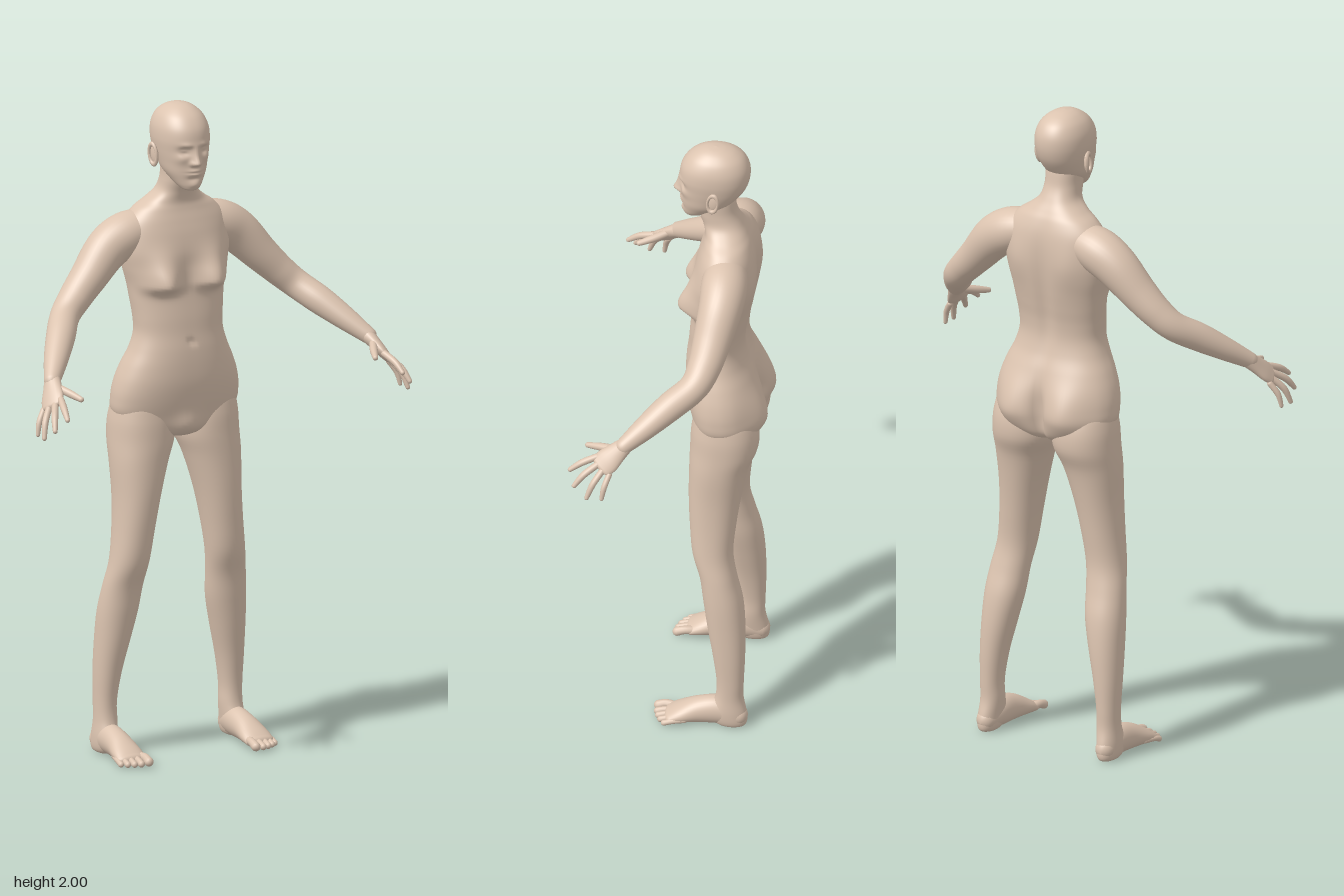
import * as THREE from 'three';

const skin = new THREE.MeshStandardMaterial({ color: 0xdcc4b0, roughness: 0.8 });
const V = (x, y, z) => new THREE.Vector3(x, y, z);

// Smooth interpolation through rows of numbers, t in 0..1
function sampleRows(rows, t) {
  const n = rows.length - 1;
  const i = Math.min(Math.floor(t * n), n - 1);
  const f = t * n - i;
  const at = (k) => rows[Math.max(0, Math.min(n, k))];
  return rows[i].map((b, c) => {
    const a = at(i - 1)[c], d = at(i + 1)[c], e = at(i + 2)[c];
    return b + 0.5 * f * (d - a + f * (2 * a - 5 * b + 4 * d - e + f * (3 * (b - d) + e - a)));
  });
}

// Closed skin over a list of rings
function skinRings(rings) {
  const n = rings[0].length, pos = [], index = [];
  for (const ring of rings) for (const p of ring) pos.push(p.x, p.y, p.z);
  for (let i = 0; i < rings.length - 1; i++) {
    for (let j = 0; j < n; j++) {
      const k = (j + 1) % n, a = i * n + j, b = i * n + k, c = a + n, d = b + n;
      index.push(a, b, c, b, d, c);
    }
  }
  const g = new THREE.BufferGeometry();
  g.setAttribute('position', new THREE.Float32BufferAttribute(pos, 3));
  g.setIndex(index);
  g.computeVertexNormals();
  return g;
}

// Upright form from rows [y, xMin, xMax, zFront, zBack], going up.
// Each bump [x, y, width, heightBelow, heightAbove, amount, side] pushes z, mirrored in x.
function upright(rows, { steps = 60, sides = 48, power = 2.2, bumps = [] } = {}) {
  const rings = [];
  const round = (v) => Math.sign(v) * Math.abs(v) ** (2 / power);
  for (let i = 0; i <= steps; i++) {
    const [y, x0, x1, zf, zb] = sampleRows(rows, i / steps);
    rings.push(Array.from({ length: sides }, (_, j) => {
      const a = (j / sides) * Math.PI * 2, c = Math.cos(a);
      const x = (x0 + x1) / 2 + (x1 - x0) / 2 * round(Math.sin(a));
      let z = (zf + zb) / 2 + (zf - zb) / 2 * round(c);
      for (const [bx, by, w, lo, hi, amount, side] of bumps) {
        if (c * side <= 0) continue;
        const dx = (Math.abs(x) - bx) / w, dy = (y - by) / (y < by ? lo : hi);
        z += amount * Math.exp(-dx * dx - dy * dy) * Math.min(1, Math.abs(c) * 2.5);
      }
      return V(x, y, z);
    }));
  }
  return skinRings(rings);
}

// Limb along rows [x, y, z, radiusA, radiusB] with round ends; radiusA lies along the hint
function limb(rows, { hint = V(0, 1, 0), steps = 24, sides = 20 } = {}) {
  const rings = [];
  const point = (t) => V(...sampleRows(rows, t).slice(0, 3));
  const addRing = (t, angle, dir) => {
    const [x, y, z, ra, rb] = sampleRows(rows, t);
    const T = point(Math.min(1, t + 0.01)).sub(point(Math.max(0, t - 0.01))).normalize();
    const U = hint.clone().addScaledVector(T, -hint.dot(T)).normalize();
    const W = T.clone().cross(U);
    const s = Math.cos(angle);
    const o = V(x, y, z).addScaledVector(T, dir * Math.min(ra, rb) * Math.sin(angle));
    rings.push(Array.from({ length: sides }, (_, j) => {
      const a = (j / sides) * Math.PI * 2;
      return o.clone().addScaledVector(U, ra * s * Math.cos(a)).addScaledVector(W, rb * s * Math.sin(a));
    }));
  };
  for (let k = 5; k > 0; k--) addRing(0, k * Math.PI / 10, -1);
  for (let i = 0; i <= steps; i++) addRing(i / steps, 0, 0);
  for (let k = 1; k <= 5; k++) addRing(1, k * Math.PI / 10, 1);
  return skinRings(rings);
}

function mirrored(geometry) {
  const g = geometry.clone().scale(-1, 1, 1);
  const ix = g.index.array;
  for (let i = 0; i < ix.length; i += 3) [ix[i], ix[i + 1]] = [ix[i + 1], ix[i]];
  g.computeVertexNormals();
  return g;
}

export function createModel() {
  const body = new THREE.Group();
  body.name = 'figure';
  const add = (name, g) => {
    const m = new THREE.Mesh(g, skin);
    m.name = name;
    body.add(m);
  };
  const pair = (name, g) => {
    add('left' + name, g);
    add('right' + name, mirrored(g));
  };
  const centred = (rows) => rows.map(([y, w, f, b]) => [y, -w, w, f, b]);

  // Torso and neck in one skin
  add('torso', upright(centred([
    [0.965, 0, -0.12, -0.14], [0.975, 0.06, -0.07, -0.19], [1.0, 0.15, -0.045, -0.222],
    [1.05, 0.198, -0.032, -0.23], [1.1, 0.204, -0.02, -0.23], [1.15, 0.196, -0.012, -0.228],
    [1.2, 0.178, -0.01, -0.218], [1.25, 0.155, -0.012, -0.202], [1.3, 0.141, -0.018, -0.193],
    [1.35, 0.143, -0.022, -0.195], [1.4, 0.149, -0.028, -0.204], [1.45, 0.156, -0.034, -0.213],
    [1.5, 0.168, -0.036, -0.22], [1.55, 0.176, -0.035, -0.224], [1.6, 0.172, -0.042, -0.224],
    [1.64, 0.16, -0.052, -0.219], [1.675, 0.13, -0.062, -0.208], [1.7, 0.094, -0.065, -0.195],
    [1.73, 0.062, -0.057, -0.178], [1.77, 0.054, -0.042, -0.16], [1.82, 0.053, -0.04, -0.152],
    [1.85, 0.045, -0.05, -0.14]]), {
    steps: 130, sides: 96, power: 2.3,
    bumps: [
      [0.085, 1.455, 0.05, 0.024, 0.075, 0.052, 1], // breasts
      [0.095, 1.07, 0.075, 0.07, 0.09, -0.04, -1], // buttocks
      [0, 1.06, 0.016, 0.09, 0.08, 0.028, -1], // cleft
      [0, 1.42, 0.025, 0.2, 0.2, 0.012, -1], // spine
      [0.09, 1.54, 0.045, 0.07, 0.07, -0.008, -1], // shoulder blades
      [0, 1.275, 0.009, 0.01, 0.01, -0.008, 1], // navel
      [0, 1.01, 0.04, 0.03, 0.04, 0.012, 1],
    ],
  }));

  // Head with face
  add('head', upright(centred([
    [1.745, 0, -0.02, -0.03], [1.748, 0.022, -0.004, -0.05], [1.76, 0.036, 0.001, -0.075],
    [1.78, 0.05, 0.004, -0.11], [1.805, 0.064, 0.006, -0.145], [1.835, 0.072, 0.008, -0.172],
    [1.865, 0.078, 0.011, -0.19], [1.9, 0.082, 0.013, -0.199], [1.935, 0.079, 0.006, -0.197],
    [1.965, 0.066, -0.014, -0.182], [1.985, 0.046, -0.04, -0.157], [1.996, 0.024, -0.066, -0.127],
    [2.0, 0, -0.095, -0.097]]), {
    steps: 110, sides: 112, power: 2.15,
    bumps: [
      [0, 1.834, 0.011, 0.008, 0.022, 0.024, 1], // nose
      [0.012, 1.832, 0.007, 0.007, 0.009, 0.008, 1], // nostrils
      [0, 1.868, 0.01, 0.02, 0.02, 0.007, 1], // bridge
      [0.032, 1.873, 0.016, 0.014, 0.01, -0.013, 1], // eye sockets
      [0.033, 1.873, 0.011, 0.006, 0.006, 0.007, 1], // eyes
      [0.028, 1.89, 0.018, 0.006, 0.008, 0.004, 1], // brows
      [0.045, 1.847, 0.016, 0.016, 0.014, 0.005, 1], // cheeks
      [0, 1.804, 0.022, 0.012, 0.012, 0.009, 1], // lips
      [0, 1.804, 0.022, 0.003, 0.003, -0.006, 1],
      [0, 1.785, 0.02, 0.007, 0.007, -0.004, 1],
      [0, 1.765, 0.02, 0.012, 0.012, 0.006, 1], // chin
    ],
  }));

  // Ears: rim over a flat lobe
  const place = (g) => g.rotateX(-0.15).rotateY(-0.25).translate(0.082, 1.848, -0.1);
  pair('EarRim', place(new THREE.TorusGeometry(0.022, 0.0055, 8, 24).scale(0.75, 1.4, 1)
    .rotateY(Math.PI / 2).translate(0.006, 0, 0)));
  pair('EarLobe', place(new THREE.SphereGeometry(1, 16, 12).scale(0.006, 0.03, 0.017)));

  // Arms from inside the shoulder to the wrist
  pair('Arm', limb([
    [0.08, 1.617, -0.14, 0.055, 0.06], [0.155, 1.598, -0.145, 0.068, 0.07],
    [0.22, 1.56, -0.143, 0.066, 0.066], [0.29, 1.487, -0.128, 0.055, 0.058],
    [0.345, 1.432, -0.113, 0.048, 0.051], [0.392, 1.388, -0.088, 0.044, 0.045],
    [0.44, 1.345, -0.025, 0.043, 0.044], [0.49, 1.298, 0.04, 0.035, 0.037],
    [0.535, 1.254, 0.1, 0.025, 0.025]], { steps: 50, sides: 32 }));

  // Hands
  const across = V(0.04, -0.035, -0.06).normalize();
  pair('Palm', limb([
    [0.53, 1.259, 0.092, 0.024, 0.024], [0.545, 1.235, 0.12, 0.032, 0.019],
    [0.558, 1.212, 0.145, 0.039, 0.016], [0.568, 1.196, 0.163, 0.037, 0.012]], { hint: across }));
  const fingers = [
    ['Thumb', [0.54, 1.243, 0.12], [0.515, 1.228, 0.172], [0.498, 1.217, 0.214], 0.012],
    ['IndexFinger', [0.548, 1.215, 0.178], [0.56, 1.197, 0.222], [0.567, 1.172, 0.257], 0.0105],
    ['MiddleFinger', [0.565, 1.199, 0.174], [0.587, 1.172, 0.213], [0.6, 1.138, 0.24], 0.0105],
    ['RingFinger', [0.577, 1.187, 0.158], [0.603, 1.152, 0.183], [0.615, 1.108, 0.2], 0.01],
    ['LittleFinger', [0.584, 1.178, 0.137], [0.605, 1.145, 0.149], [0.613, 1.108, 0.155], 0.009],
  ];
  for (const [name, a, b, c, r] of fingers) {
    pair(name, limb([[...a, r, r], [...b, r, r], [...c, r * 0.7, r * 0.7]],
      { hint: across, steps: 10, sides: 12 }));
  }

  // Legs from hip to heel
  pair('Leg', upright([
    [1.13, 0.08, 0.13, -0.1, -0.15], [1.1, 0.035, 0.185, -0.055, -0.21],
    [1.04, 0.012, 0.204, -0.04, -0.238], [0.97, 0.01, 0.209, -0.036, -0.24],
    [0.9, 0.036, 0.21, -0.035, -0.214], [0.8, 0.065, 0.207, -0.035, -0.194],
    [0.7, 0.086, 0.211, -0.04, -0.18], [0.6, 0.102, 0.221, -0.05, -0.172],
    [0.52, 0.113, 0.235, -0.074, -0.185], [0.44, 0.122, 0.244, -0.086, -0.205],
    [0.35, 0.142, 0.247, -0.1, -0.214], [0.25, 0.165, 0.248, -0.118, -0.215],
    [0.16, 0.178, 0.246, -0.13, -0.212], [0.1, 0.178, 0.246, -0.127, -0.211],
    [0.05, 0.182, 0.25, -0.11, -0.221], [0.015, 0.187, 0.248, -0.12, -0.223],
    [0, 0.198, 0.238, -0.14, -0.21], [0, 0.218, 0.218, -0.17, -0.17]].reverse(),
  { steps: 90, sides: 48, power: 2.15 }));

  // Feet and toes
  pair('Foot', limb([
    [0.217, 0.034, -0.195, 0.034, 0.03], [0.213, 0.046, -0.14, 0.046, 0.037],
    [0.214, 0.041, -0.08, 0.041, 0.04], [0.216, 0.028, -0.025, 0.028, 0.047],
    [0.217, 0.018, 0.008, 0.018, 0.047]], { sides: 32 }));
  const toes = [[0.181, 0.05, 0.014], [0.206, 0.05, 0.0105], [0.226, 0.044, 0.01],
    [0.244, 0.035, 0.0095], [0.26, 0.022, 0.009]];
  toes.forEach(([x, z, r], i) => pair('Toe' + (i + 1), limb([
    [x * 0.8 + 0.043, 0.02, z - 0.06, r, r], [x, r + 0.009, z - 0.025, r * 0.9, r * 0.9],
    [x, r + 0.001, z, r, r]], { steps: 8, sides: 12 })));

  return body;
}
